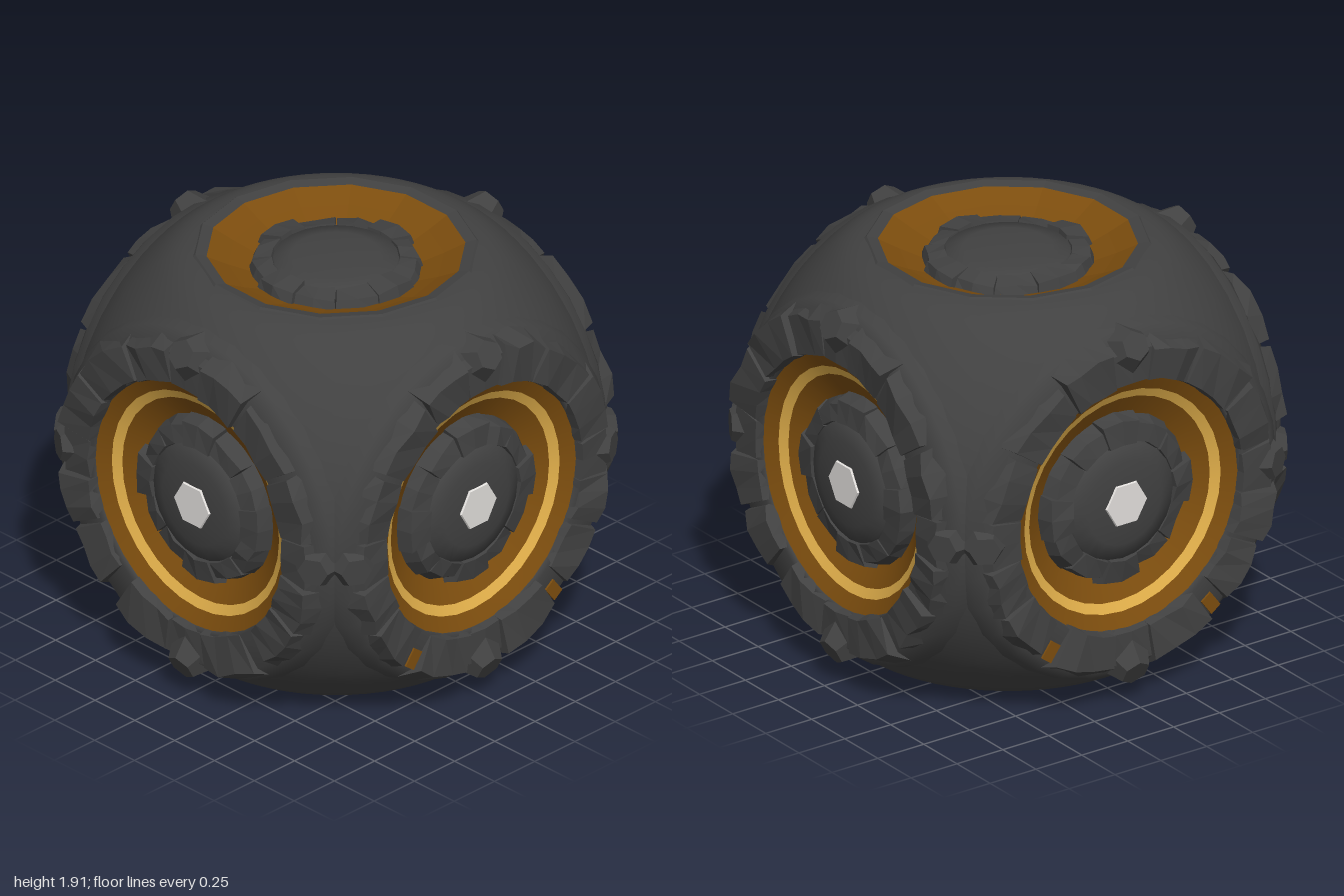
import * as THREE from 'three';
import { mergeVertices } from 'three/addons/utils/BufferGeometryUtils.js';

const mat = (name, color) => new THREE.MeshStandardMaterial({ name, color });
const CENTRE_Y = 0.962, HOLE = 0.62, SIDE = 0.925, CAP = 0.955, BALL = 1.175;

// The six faces of the body: four sides, top and bottom
const FACES = [0, 1, 2, 3].map(k => ({
  rot: new THREE.Euler(0, k * Math.PI / 2, 0), flat: SIDE, cap: false, chips: k % 2 === 0,
}));
FACES.push({ rot: new THREE.Euler(-Math.PI / 2, 0, 0), flat: CAP, cap: true });
FACES.push({ rot: new THREE.Euler(Math.PI / 2, 0, 0), flat: CAP, cap: true });

function seeded(seed) {
  return () => {
    seed = (seed * 16807) % 2147483647;
    return seed / 2147483647;
  };
}

function build(pos, index) {
  const g = new THREE.BufferGeometry();
  g.setAttribute('position', new THREE.Float32BufferAttribute(pos, 3));
  g.setIndex(index);
  return g;
}

function flat(g) {
  const out = g.index ? g.toNonIndexed() : g;
  out.computeVertexNormals();
  return out;
}

// Ball softly cut by a box, with a round opening in every face
function bodyGeometry() {
  const pos = [], index = [], A = 64, J = 14, N = 34;
  FACES.forEach((face, f) => {
    const base = f * A * (J + 1);
    for (let i = 0; i < A; i++) {
      const a = i / A * Math.PI * 2, c = Math.cos(a), s = Math.sin(a);
      const edge = 1 / Math.max(Math.abs(c), Math.abs(s));
      for (let j = 0; j <= J; j++) {
        const r = THREE.MathUtils.lerp(HOLE / face.flat, edge, j / J);
        const d = new THREE.Vector3(c * r, s * r, 1).normalize().applyEuler(face.rot);
        const sum = Math.pow(1 / BALL, N) + Math.pow(Math.abs(d.x) / SIDE, N)
          + Math.pow(Math.abs(d.y) / CAP, N) + Math.pow(Math.abs(d.z) / SIDE, N);
        d.multiplyScalar(Math.pow(sum, -1 / N));
        pos.push(d.x, d.y, d.z);
        if (j < J) {
          const p = base + i * (J + 1) + j, q = base + ((i + 1) % A) * (J + 1) + j;
          index.push(p, p + 1, q + 1, p, q + 1, q);
        }
      }
    }
  });
  const g = mergeVertices(build(pos, index), 1e-4);
  g.computeVertexNormals();
  return g;
}

// Chunky arc stone: a four-point [radius, height] section swept between two angles
function stone(a0, a1, section, rand, rough, steps = 3) {
  const pos = [], index = [];
  for (let s = 0; s <= steps; s++) {
    const end = s === 0 || s === steps;
    section.forEach(([r, z], j) => {
      const top = j === 1 || j === 2;
      const inset = end && top ? (s === 0 ? 0.015 : -0.015) : 0;
      const a = THREE.MathUtils.lerp(a0, a1, s / steps) + inset;
      const rr = r + (rand() - 0.5) * rough * (j > 1 ? 1.4 : 0.5);
      const zz = z + (top ? (rand() - 0.5) * rough - (end ? 0.005 : 0) : 0);
      pos.push(Math.cos(a) * rr, Math.sin(a) * rr, zz);
      if (s < steps) {
        const k = (j + 1) % 4, p = s * 4 + j, p2 = s * 4 + k;
        index.push(p, p2, p2 + 4, p, p2 + 4, p + 4);
      }
    });
  }
  const e = steps * 4;
  index.push(0, 2, 1, 0, 3, 2, e, e + 1, e + 2, e, e + 2, e + 3);
  return flat(build(pos, index));
}

// Round part facing +z; profile runs from the rim inwards as [radius, height]
function dish(profile, sides) {
  const g = new THREE.LatheGeometry(profile.map(p => new THREE.Vector2(p[0], p[1])), sides);
  return g.rotateX(Math.PI / 2);
}

export function createModel() {
  const root = new THREE.Group();
  root.name = 'orb';
  const dark = mat('charcoal', 0x414141);
  const bronze = mat('bronze', 0x7c4d0e);
  const gold = mat('gold', 0xe0ae4a);
  const pale = mat('pale grey', 0xe2dfdc);
  bronze.side = gold.side = THREE.DoubleSide;

  const add = (parent, name, geometry, material) => {
    const m = new THREE.Mesh(geometry, material);
    m.name = name;
    parent.add(m);
    return m;
  };

  add(root, 'body', bodyGeometry(), dark).position.y = CENTRE_Y;

  FACES.forEach((face, f) => {
    const rand = seeded(101 + f * 37);
    const g = new THREE.Group();
    g.name = face.cap ? 'capDial' : 'sideDial';
    g.rotation.copy(face.rot);
    g.position.y = CENTRE_Y;
    root.add(g);

    // Sloping bronze channel around the hub
    if (face.cap) {
      add(g, 'dialLip', flat(dish([[0.66, 0.92], [0.625, 0.953], [0.575, 0.943]], 14)), dark);
      add(g, 'channel', flat(dish([[0.58, 0.942], [0.48, 0.895], [0.37, 0.85]], 14)), bronze);
    } else {
      add(g, 'outerChannel', dish([[0.63, 0.915], [0.6, 0.9], [0.535, 0.864]], 32), bronze);
      add(g, 'goldStripe', dish([[0.535, 0.864], [0.492, 0.841]], 32), gold);
      add(g, 'innerChannel', dish([[0.492, 0.841], [0.38, 0.775]], 32), bronze);
    }

    // Hub: stone collar with four wider blocks, and a shallow domed disc
    const lift = face.cap ? 0.05 : 0.005;
    const raise = ([r, z]) => [r, z + lift];
    const collar = [[0.26, 0.76], [0.285, 0.862], [0.365, 0.845], [0.4, 0.76]].map(raise);
    const block = [[0.26, 0.76], [0.28, 0.875], [0.385, 0.86], [0.415, 0.76]].map(raise);
    for (let k = 0; k < 4; k++) {
      const a = k * Math.PI / 2;
      add(g, 'hubBlock', stone(a - 0.28, a + 0.28, block, rand, 0.012, 2), dark);
      add(g, 'hubCollar', stone(a + 0.24, a + 0.79, collar, rand, 0.016, 2), dark);
      add(g, 'hubCollar', stone(a + 0.78, a + 1.33, collar, rand, 0.016, 2), dark);
    }
    const crown = face.cap ? 0.925 : 0.893;
    add(g, 'hubDisc', dish([[0.285, 0.8 + lift], [0.278, 0.855 + lift], [0.2, crown - 0.01],
      [0.1, crown - 0.002], [0.001, crown]], 24), dark);

    if (face.cap) return;

    // Six-sided pale light in the middle
    const light = new THREE.CylinderGeometry(0.108, 0.112, 0.009, 6).rotateX(Math.PI / 2).rotateZ(Math.PI / 6);
    add(g, 'centreLight', flat(light), pale).position.z = 0.895;

    // Smooth round bed under the stones
    add(g, 'ringBed', dish([[0.87, 0.77], [0.842, 0.855], [0.78, 0.91], [0.61, 0.928], [0.6, 0.9]], 32), dark);

    // Broad stones running down both sides, leaving a gap low on each
    const spans = [[0.14, 0.5], [0.51, 0.98], [0.99, 1.42], [1.72, 2.05], [2.06, 2.43], [2.55, 3.0]];
    for (const side of [-1, 1]) {
      for (const [s, e] of spans) {
        const a0 = Math.PI / 2 + side * s, a1 = Math.PI / 2 + side * e;
        const out = 0.805 + rand() * 0.03, top = 0.945 + rand() * 0.02;
        const section = [[0.59, 0.86], [0.608, top - 0.01], [out - 0.045, top], [out, 0.86]];
        add(g, 'ringStone', stone(Math.min(a0, a1), Math.max(a0, a1), section, rand, 0.022), dark);
      }
    }

    // Faceted studs at the quarters, leaning outwards; the upper and lower ones stand prouder
    for (let k = 0; k < 4; k++) {
      const a = k * Math.PI / 2, proud = k % 2 === 1;
      const seat = [[0.59, 0.86], [0.608, 0.94], [0.76, 0.94], [0.83, 0.85]];
      add(g, 'studSeat', stone(a - 0.16, a + 0.16, seat, rand, 0.01, 2), dark);
      const stud = new THREE.CylinderGeometry(0.07, 0.14, 0.14, 6)
        .rotateX(Math.PI / 2).rotateZ(Math.PI / 6).rotateY(0.5).rotateZ(a);
      add(g, 'ringStud', flat(stud), dark)
        .position.set(Math.cos(a) * 0.765, Math.sin(a) * 0.765, proud ? 0.904 : 0.875);
    }

    // Small bronze chips lying in the two gaps
    if (!face.chips) return;
    for (const side of [-1, 1]) {
      const chip = add(g, 'bronzeChip', new THREE.BoxGeometry(0.06, 0.09, 0.009), bronze);
      chip.position.set(side * 0.435, -0.59, 0.926);
      chip.rotation.z = side * 0.64;
    }
  });
  return root;
}
